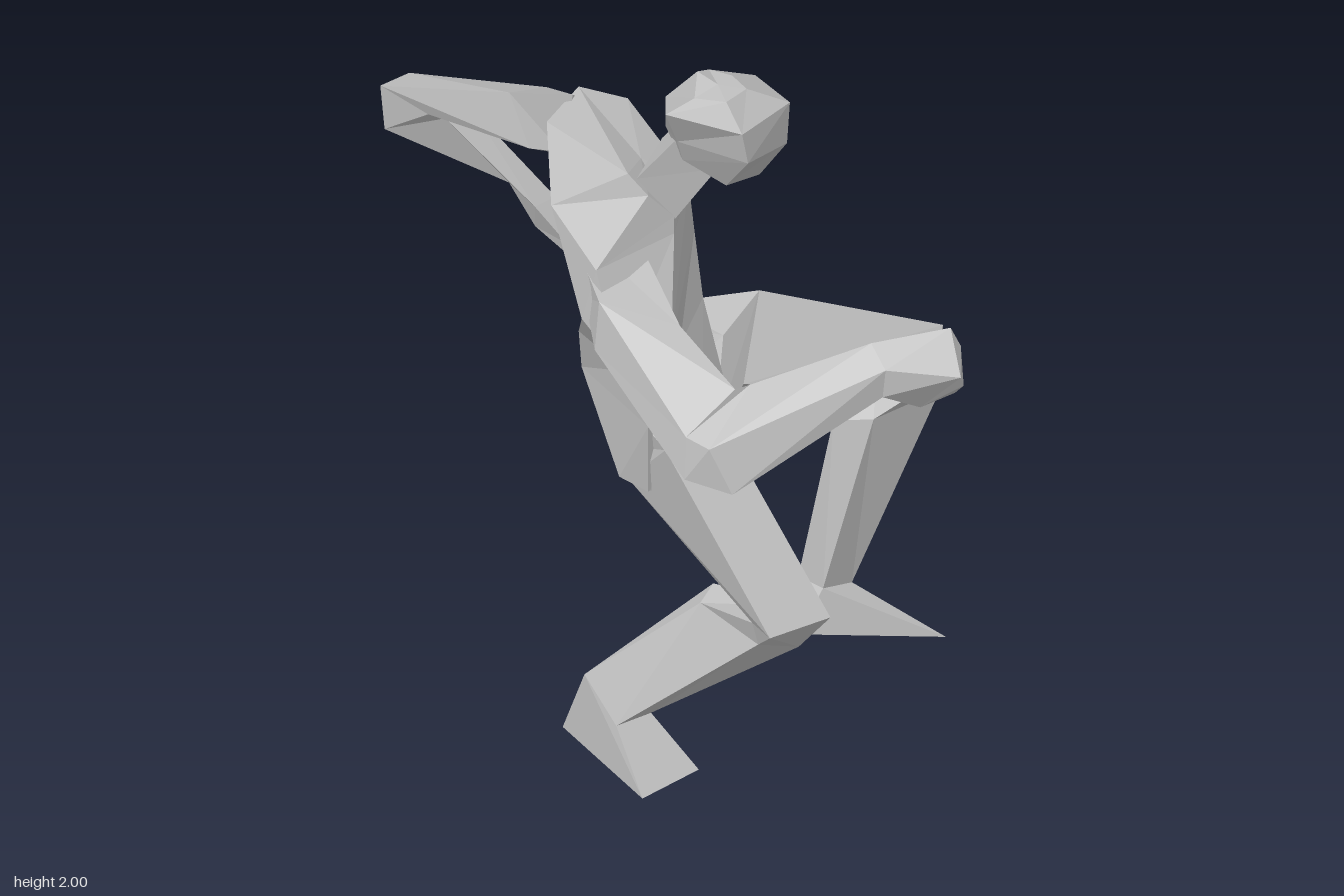
import * as THREE from 'three';

// Closed, faceted skin through a list of matching cross-sections.
function loft(sections) {
  const n = sections[0].length;
  const tris = [];
  for (let s = 0; s < sections.length - 1; s++) {
    const a = sections[s], b = sections[s + 1];
    for (let i = 0; i < n; i++) {
      const j = (i + 1) % n;
      tris.push([a[i], a[j], b[j]], [a[i], b[j], b[i]]);
    }
  }
  const cap = (ring, flip) => {
    const c = [0, 1, 2].map((k) => ring.reduce((t, p) => t + p[k], 0) / n);
    for (let i = 0; i < n; i++) {
      const p = ring[i], q = ring[(i + 1) % n];
      tris.push(flip ? [c, q, p] : [c, p, q]);
    }
  };
  cap(sections[0], true);
  cap(sections[sections.length - 1], false);

  // Signed volume decides which way the corners must run.
  let volume = 0;
  const [u, v, w] = [new THREE.Vector3(), new THREE.Vector3(), new THREE.Vector3()];
  for (const [a, b, c] of tris) {
    volume += u.fromArray(a).dot(v.fromArray(b).cross(w.fromArray(c)));
  }
  const pos = tris.flatMap(([a, b, c]) => (volume < 0 ? [a, c, b] : [a, b, c]).flat());
  const geo = new THREE.BufferGeometry();
  geo.setAttribute('position', new THREE.Float32BufferAttribute(pos, 3));
  geo.computeVertexNormals();
  return geo;
}

export function createModel() {
  const group = new THREE.Group();
  const clay = new THREE.MeshStandardMaterial({ color: 0xc0c0c0 });
  clay.name = 'clay grey';
  const part = (name, sections) => {
    const mesh = new THREE.Mesh(loft(sections), clay);
    mesh.name = name;
    group.add(mesh);
  };

  // Torso, pelvis to neck base: front right, front left, left, back left, back right, right
  part('torso', [
    [[-0.2, 0.8, 0.03], [-0.08, 0.81, -0.02], [0.04, 0.8, -0.2], [-0.13, 0.8, -0.32], [-0.34, 0.79, -0.1], [-0.34, 0.79, 0]],
    [[-0.2, 0.95, 0.05], [-0.07, 1.0, -0.01], [0.05, 1.05, -0.22], [-0.03, 1.02, -0.35], [-0.33, 1.04, -0.24], [-0.37, 1.0, 0.03]],
    [[-0.24, 1.17, 0.01], [-0.1, 1.22, -0.05], [0, 1.23, -0.2], [-0.1, 1.2, -0.41], [-0.38, 1.18, -0.2], [-0.38, 1.15, 0.01]],
    [[-0.42, 1.31, 0.16], [-0.1, 1.4, -0.08], [-0.01, 1.45, -0.25], [-0.18, 1.45, -0.43], [-0.57, 1.38, 0], [-0.58, 1.31, 0.14]],
    [[-0.3, 1.53, 0.05], [-0.14, 1.56, -0.06], [-0.1, 1.66, -0.38], [-0.31, 1.67, -0.38], [-0.495, 1.595, -0.18], [-0.56, 1.53, 0.04]],
    [[-0.29, 1.57, 0.04], [-0.16, 1.59, -0.04], [-0.15, 1.72, -0.26], [-0.26, 1.775, -0.32], [-0.38, 1.7, -0.03], [-0.36, 1.65, 0.02]],
  ]);

  part('neck', [
    [[-0.29, 1.56, 0.04], [-0.16, 1.57, -0.03], [-0.21, 1.71, -0.08], [-0.37, 1.69, -0.01]],
    [[-0.22, 1.71, 0.12], [-0.12, 1.72, 0.04], [-0.18, 1.82, 0], [-0.31, 1.8, 0.06]],
  ]);

  // Head, jaw to crown, turned towards the left
  part('head', [
    [[-0.25, 1.7, 0.18], [-0.12, 1.67, 0.165], [-0.07, 1.64, 0.08], [-0.15, 1.7, 0], [-0.25, 1.74, 0], [-0.31, 1.76, 0.09]],
    [[-0.28, 1.82, 0.285], [-0.12, 1.8, 0.26], [-0.055, 1.8, 0.1], [-0.11, 1.78, -0.02], [-0.26, 1.79, -0.02], [-0.34, 1.83, 0.1]],
    [[-0.3, 1.91, 0.285], [-0.12, 1.92, 0.27], [-0.1, 1.93, 0.13], [-0.13, 1.89, 0], [-0.28, 1.89, 0], [-0.4, 1.94, 0.12]],
    [[-0.3, 1.98, 0.23], [-0.22, 1.98, 0.22], [-0.2, 1.98, 0.15], [-0.22, 1.98, 0.09], [-0.27, 2.0, 0.1], [-0.33, 1.97, 0.15]],
  ]);

  // Left arm, swung back with the forearm folded down
  part('leftArm', [
    [[-0.28, 1.76, -0.32], [-0.11, 1.64, -0.32], [-0.1, 1.47, -0.38], [-0.28, 1.58, -0.36]],
    [[-0.3, 1.69, -0.52], [-0.17, 1.65, -0.52], [-0.16, 1.54, -0.47], [-0.3, 1.56, -0.45]],
    [[-0.405, 1.61, -0.86], [-0.3, 1.6, -0.865], [-0.25, 1.56, -0.74], [-0.36, 1.56, -0.74]],
    [[-0.39, 1.48, -0.86], [-0.3, 1.475, -0.86], [-0.24, 1.54, -0.71], [-0.32, 1.54, -0.72]],
    [[-0.19, 1.34, -0.63], [-0.12, 1.33, -0.62], [-0.11, 1.3, -0.55], [-0.18, 1.3, -0.55]],
    [[-0.15, 1.22, -0.58], [-0.1, 1.22, -0.58], [-0.08, 1.21, -0.49], [-0.13, 1.2, -0.49]],
    [[-0.1, 1.12, -0.43], [-0.08, 1.12, -0.43], [-0.07, 1.11, -0.42], [-0.09, 1.11, -0.42]],
  ]);

  // Right arm, bent with the hand raised in front
  part('rightArm', [
    [[-0.49, 1.57, -0.13], [-0.4, 1.5, 0.06], [-0.4, 1.36, 0.1], [-0.54, 1.42, -0.02]],
    [[-0.59, 1.47, 0.08], [-0.46, 1.41, 0.23], [-0.43, 1.31, 0.17], [-0.605, 1.34, 0.08]],
    [[-0.6, 1.22, 0.39], [-0.46, 1.31, 0.42], [-0.5, 1.13, 0.4], [-0.615, 1.11, 0.4]],
    [[-0.59, 1.21, 0.46], [-0.42, 1.31, 0.43], [-0.48, 1.13, 0.48], [-0.56, 1.09, 0.51]],
    [[-0.22, 1.38, 0.7], [-0.2, 1.42, 0.63], [-0.18, 1.34, 0.6], [-0.22, 1.3, 0.69]],
    [[-0.12, 1.385, 0.86], [-0.04, 1.445, 0.745], [-0.04, 1.34, 0.72], [-0.13, 1.25, 0.73]],
    [[-0.1, 1.35, 0.85], [-0.03, 1.4, 0.77], [-0.04, 1.32, 0.76], [-0.08, 1.3, 0.8]],
  ]);

  // Left leg, thigh out to the side and shin down; its last section starts the foot
  const leftAnkle = [[0.415, 0.19, -0.05], [0.41, 0.2, -0.14], [0.32, 0.21, -0.14], [0.315, 0.215, -0.05]];
  part('leftLeg', [
    [[0.02, 1.04, -0.1], [-0.05, 1.02, -0.34], [-0.08, 0.8, -0.29], [-0.09, 0.83, -0.02]],
    [[0.175, 1.09, -0.13], [0.06, 1.01, -0.35], [0.08, 0.8, -0.22], [0.05, 0.905, -0.06]],
    [[0.6, 0.9, 0.08], [0.6, 0.8, -0.07], [0.5, 0.775, -0.05], [0.51, 0.775, 0.11]],
    [[0.6, 0.71, 0.07], [0.6, 0.72, -0.07], [0.36, 0.67, -0.06], [0.41, 0.69, 0.03]],
    leftAnkle,
  ]);
  part('leftFoot', [
    leftAnkle,
    [[0.6, 0.015, 0.09], [0.605, 0, -0.1], [0.28, 0.1, -0.15], [0.23, 0.12, -0.05]],
  ]);

  // Right leg, knee forward and shin folded back
  const rightAnkle = [[-0.41, 0.135, -0.04], [-0.3, 0.13, -0.03], [-0.31, 0.23, -0.15], [-0.38, 0.21, -0.18]];
  part('rightLeg', [
    [[-0.35, 0.98, 0], [-0.2, 0.98, 0.02], [-0.08, 0.87, -0.08], [-0.3, 0.85, -0.13]],
    [[-0.36, 0.95, 0.08], [-0.2, 0.945, 0.14], [-0.1, 0.8, 0], [-0.33, 0.79, -0.08]],
    [[-0.27, 0.49, 0.35], [-0.13, 0.52, 0.42], [-0.095, 0.49, 0.31], [-0.26, 0.5, 0.28]],
    [[-0.24, 0.43, 0.28], [-0.13, 0.39, 0.31], [-0.2, 0.505, 0.085], [-0.27, 0.49, 0.11]],
    rightAnkle,
  ]);
  part('rightFoot', [
    rightAnkle,
    [[-0.45, 0, 0.09], [-0.255, 0, 0.09], [-0.32, 0.02, -0.265], [-0.37, 0.02, -0.265]],
  ]);

  return group;
}
